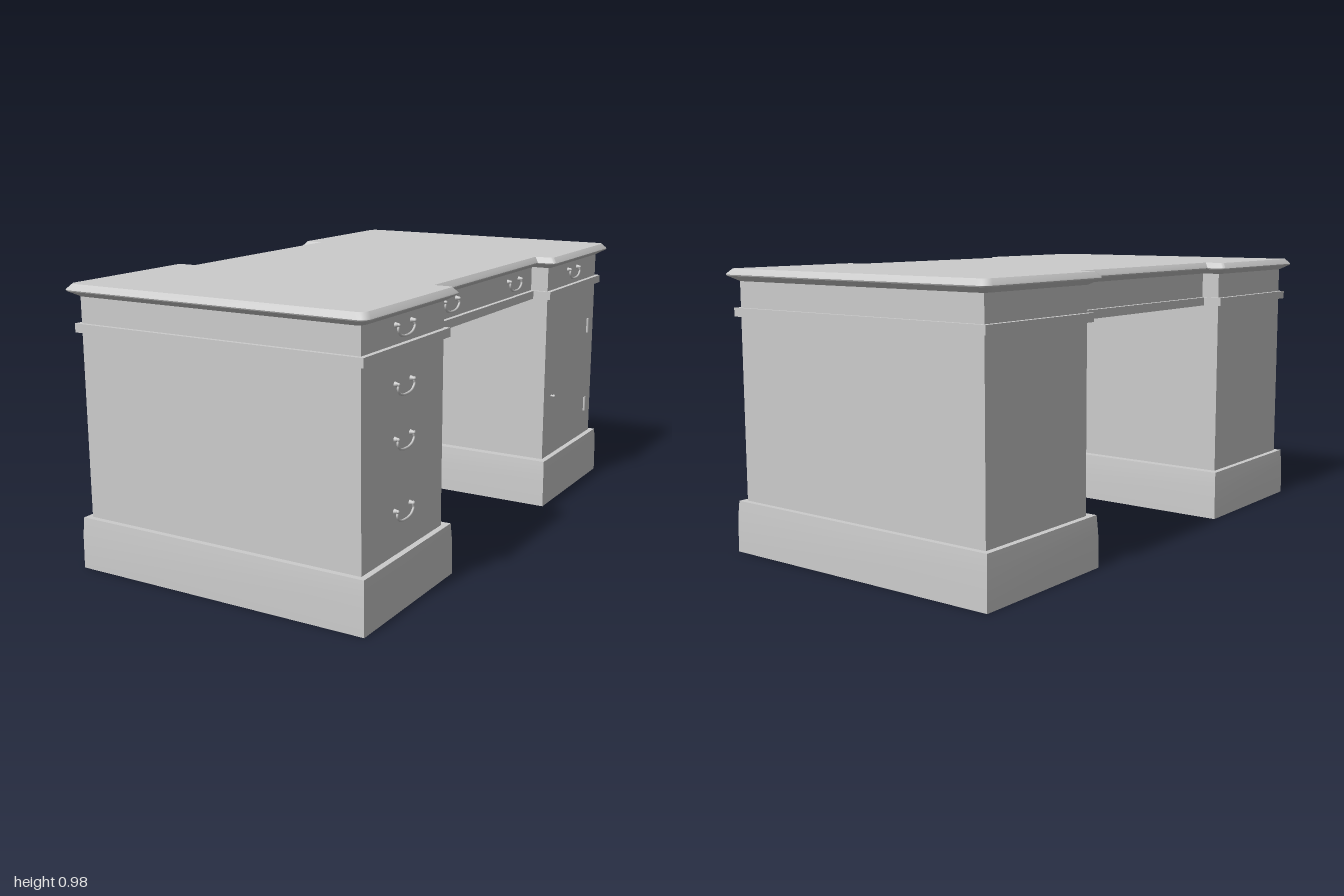
import * as THREE from 'three';
import { toCreasedNormals } from 'three/addons/utils/BufferGeometryUtils.js';

const material = new THREE.MeshStandardMaterial({ color: 0xcccccc });

function addMesh(parent, name, geometry) {
  const mesh = new THREE.Mesh(geometry, material);
  mesh.name = name;
  parent.add(mesh);
  return mesh;
}

// Plan of the desk in (x, z): two wings (to X, Z, starting at rz) joined by a narrower centre (to rx)
function deskPlan(X, Z, rx, rz, r = 0) {
  const corners = [
    [X, rz], [X, Z], [-X, Z], [-X, rz], [-rx, rz], [-rx, -rz],
    [-X, -rz], [-X, -Z], [X, -Z], [X, -rz], [rx, -rz], [rx, rz],
  ].map(([x, z]) => new THREE.Vector2(x, z));
  if (!r) return corners;
  const points = [];
  corners.forEach((c, i) => {
    if (i % 6 > 3) { points.push(c); return; }
    const toward = (o) => c.clone().add(o.clone().sub(c).setLength(i % 3 ? r : r * 0.5));
    const a = toward(corners[(i + 11) % 12]);
    const b = toward(corners[(i + 1) % 12]);
    points.push(...new THREE.QuadraticBezierCurve(a, c, b).getPoints(4));
  });
  return points;
}

function rectPlan(X, z0, z1) {
  return [[X, z0], [X, z1], [-X, z1], [-X, z0]].map(([x, z]) => new THREE.Vector2(x, z));
}

// Closed solid through plans of equal point count at rising heights: [[y, plan], ...]
function loft(levels, crease = 0.5) {
  const n = levels[0][1].length;
  const position = levels.flatMap(([y, plan]) => plan.flatMap((p) => [p.x, y, p.y]));
  const index = [];
  for (let l = 0; l < levels.length - 1; l++) {
    for (let i = 0; i < n; i++) {
      const a = l * n + i, b = l * n + (i + 1) % n;
      index.push(a, a + n, b, b, a + n, b + n);
    }
  }
  const last = (levels.length - 1) * n;
  for (const [a, b, c] of THREE.ShapeUtils.triangulateShape(levels[0][1], [])) index.push(a, b, c);
  for (const [a, b, c] of THREE.ShapeUtils.triangulateShape(levels.at(-1)[1], [])) {
    index.push(last + a, last + c, last + b);
  }
  const geometry = new THREE.BufferGeometry();
  geometry.setAttribute('position', new THREE.Float32BufferAttribute(position, 3));
  geometry.setIndex(index);
  return toCreasedNormals(geometry, crease);
}

// Swan-neck drop handle on a face looking toward +x
function makeHandle(x, y, z) {
  const handle = new THREE.Group();
  handle.name = 'drawerHandle';
  const bail = new THREE.CatmullRomCurve3([
    [0.008, 0.016, -0.062], [0.011, 0.014, -0.05], [0.012, 0.002, -0.053], [0.012, -0.014, -0.04],
    [0.012, -0.021, -0.018], [0.012, -0.022, 0], [0.012, -0.021, 0.018],
    [0.012, -0.014, 0.04], [0.012, 0.002, 0.053], [0.011, 0.014, 0.05], [0.008, 0.016, 0.062],
  ].map((p) => new THREE.Vector3(...p)));
  addMesh(handle, 'bail', new THREE.TubeGeometry(bail, 40, 0.0042, 6));
  for (const side of [-1, 1]) {
    const post = addMesh(handle, 'handlePost', new THREE.CylinderGeometry(0.005, 0.009, 0.014, 12));
    post.rotation.z = -Math.PI / 2;
    post.position.set(0.006, 0.016, side * 0.05);
    const knob = addMesh(handle, 'handleKnob', new THREE.SphereGeometry(0.006, 10, 8));
    knob.position.set(0.012, 0.016, side * 0.05);
  }
  handle.position.set(x, y, z);
  return handle;
}

export function createModel() {
  const desk = new THREE.Group();
  desk.name = 'pedestalDesk';

  // Desktop with bevelled edge, following the recessed plan
  const topAt = (d) => deskPlan(0.57 - d, 1 - d, 0.5 - d, 0.405 + d, 0.03);
  addMesh(desk, 'desktop', loft([
    [0.938, topAt(0.032)], [0.956, topAt(0.002)], [0.96, topAt(0)],
    [0.964, topAt(0.002)], [0.98, topAt(0.016)],
  ]));

  // Drawer frieze and the moulding band around it
  const frieze = deskPlan(0.53, 0.96, 0.462, 0.44);
  addMesh(desk, 'drawerFrieze', loft([[0.822, frieze], [0.94, frieze]]));
  const band = deskPlan(0.547, 0.975, 0.478, 0.425);
  addMesh(desk, 'mouldingBand', loft([[0.818, band], [0.848, band]]));

  // Pedestals on slightly tapering plinths
  for (const side of [1, -1]) {
    const pedestal = new THREE.Group();
    pedestal.name = side > 0 ? 'drawerPedestal' : 'cupboardPedestal';
    const plan = (x, a, b) => (side > 0 ? rectPlan(x, a, b) : rectPlan(x, -b, -a));
    const body = plan(0.53, 0.44, 0.96);
    addMesh(pedestal, 'cabinet', loft([[0.17, body], [0.83, body]]));
    addMesh(pedestal, 'plinth', loft([
      [0, plan(0.555, 0.4, 0.986)], [0.12, plan(0.554, 0.402, 0.985)], [0.18, plan(0.551, 0.408, 0.98)],
    ], 0.2));
    desk.add(pedestal);
  }

  // Handles: frieze drawers, then the stacked pedestal drawers
  for (const [x, y, z] of [
    [0.53, 0.892, 0.71], [0.53, 0.892, -0.695], [0.462, 0.892, 0.265], [0.462, 0.892, -0.265],
    [0.53, 0.711, 0.71], [0.53, 0.539, 0.71], [0.53, 0.309, 0.71],
  ]) desk.add(makeHandle(x, y, z));

  // Cupboard door hinges and small knob
  for (const y of [0.646, 0.309]) {
    const hinge = addMesh(desk, 'doorHinge', new THREE.CylinderGeometry(0.006, 0.006, 0.058, 10));
    hinge.position.set(0.532, y, -0.89);
  }
  const stem = addMesh(desk, 'doorKnobStem', new THREE.CylinderGeometry(0.003, 0.005, 0.01, 10));
  stem.rotation.z = -Math.PI / 2;
  stem.position.set(0.535, 0.422, -0.515);
  const knob = addMesh(desk, 'doorKnob', new THREE.SphereGeometry(0.006, 10, 8));
  knob.position.set(0.541, 0.422, -0.515);

  return desk;
}
